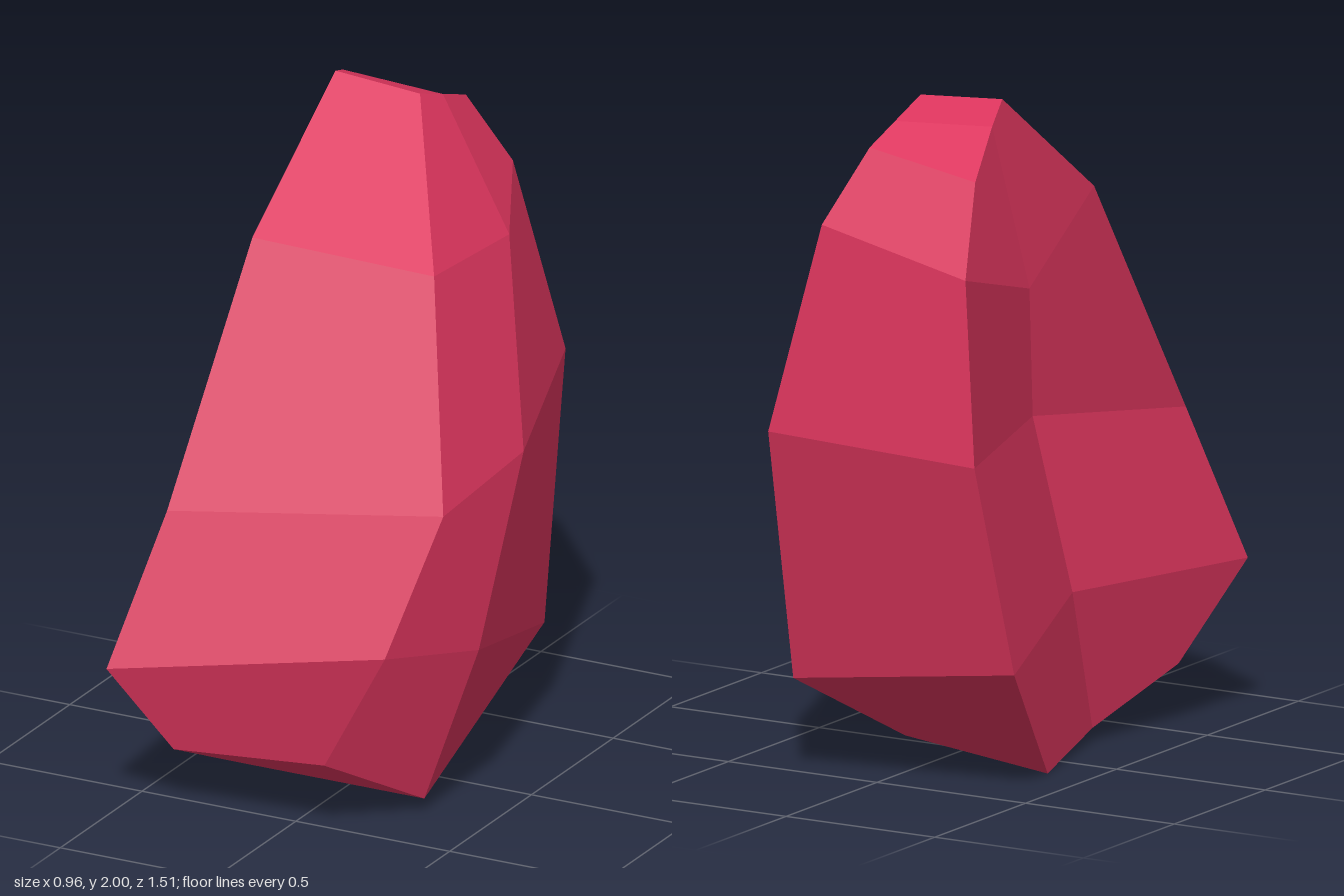
import * as THREE from 'three';

// Six-sided rings from top to bottom. Corner order in each ring:
// front at -x, front at +x, side at +x, back at +x, back at -x, side at -x
const RINGS = [
  [[-0.275, 2.0, -0.26], [0, 1.98, -0.26], [0, 1.93, -0.4], [0, 1.88, -0.54], [-0.355, 1.82, -0.54], [-0.32, 1.95, -0.39]],
  [[-0.29, 1.65, 0.22], [0.29, 1.63, 0.2], [0.29, 1.6, -0.26], [0.1, 1.66, -0.64], [-0.42, 1.57, -0.7], [-0.36, 1.45, -0.25]],
  [[-0.36, 0.93, 0.61], [0.41, 0.97, 0.37], [0.48, 1.06, 0.01], [0.21, 1.06, -0.755], [-0.45, 1.02, -0.7], [-0.27, 1.03, -0.085]],
  [[-0.48, 0.47, 0.755], [0.31, 0.57, 0.54], [0.43, 0.5, 0.19], [0.245, 0.29, -0.56], [-0.48, 0.38, -0.53], [-0.3, 0.48, 0.085]],
  [[-0.36, 0.18, 0.57], [0.13, 0.22, 0.57], [0.29, 0.04, 0.26], [0.15, 0.04, -0.1], [-0.36, 0, -0.15], [-0.26, 0.04, 0.26]],
];

function facetedGeometry(rings) {
  const positions = [], normals = [];
  const sides = rings[0].length;

  // One four-cornered facet, split from b to d, with a single flat normal
  const facet = (a, b, c, d) => {
    const [va, vb, vc, vd] = [a, b, c, d].map((p) => new THREE.Vector3(...p));
    const normal = vc.sub(va).cross(vd.sub(vb)).normalize().toArray();
    for (const p of [a, b, d, b, c, d]) {
      positions.push(...p);
      normals.push(...normal);
    }
  };

  // Facets between neighbouring rings; the fold direction flips halfway down
  for (let r = 0; r < rings.length - 1; r++) {
    const upper = rings[r], lower = rings[r + 1];
    for (let i = 0; i < sides; i++) {
      const j = (i + 1) % sides;
      if (r < 2) facet(upper[j], upper[i], lower[i], lower[j]);
      else facet(upper[i], lower[i], lower[j], upper[j]);
    }
  }

  // Top and underside, each folded along the line between the side corners
  const [a, b, c, d, e, f] = rings[0];
  facet(a, b, c, f);
  facet(f, c, d, e);
  const [p, q, s, t, u, v] = rings[rings.length - 1];
  facet(v, s, q, p);
  facet(u, t, s, v);

  const geometry = new THREE.BufferGeometry();
  geometry.setAttribute('position', new THREE.Float32BufferAttribute(positions, 3));
  geometry.setAttribute('normal', new THREE.Float32BufferAttribute(normals, 3));
  return geometry;
}

export function createModel() {
  const crimson = new THREE.MeshStandardMaterial({ color: 0xdc355d });
  crimson.name = 'crimson';

  const crystal = new THREE.Mesh(facetedGeometry(RINGS), crimson);
  crystal.name = 'crystal';

  const model = new THREE.Group();
  model.name = 'crystalRock';
  model.add(crystal);
  return model;
}
